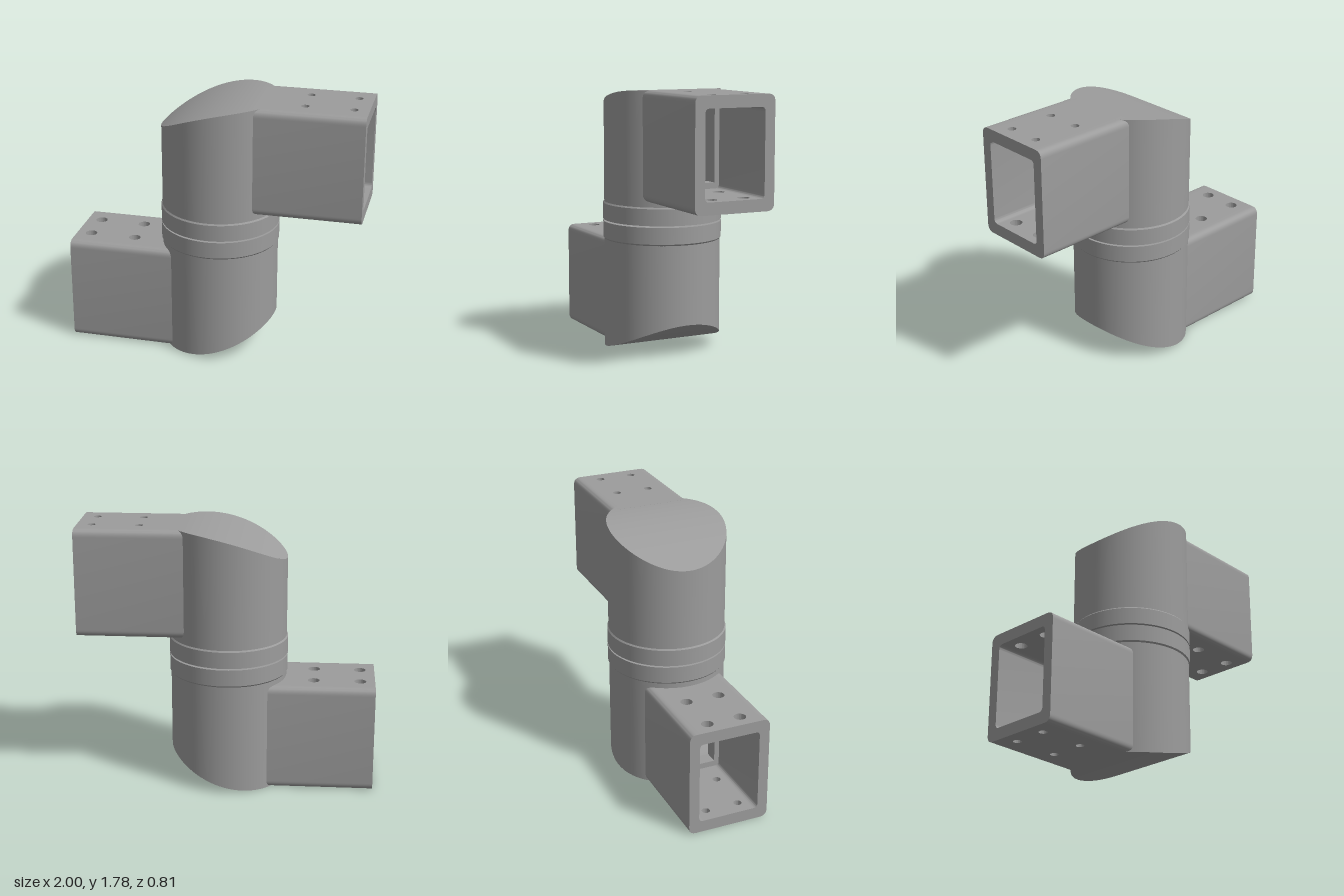
import * as THREE from 'three';
import { toCreasedNormals } from 'three/addons/utils/BufferGeometryUtils.js';
import { ParametricGeometry } from 'three/addons/geometries/ParametricGeometry.js';

const MID = 0.8925, TOP = 1.785, R = 0.395;
const TUBE = { x0: 0.27, x1: 1, y0: 1.055, y1: TOP, z: 0.28, wall: 0.08, r: 0.05 };
const WINDOW = { z: 0.175, y0: 1.175, y1: 1.665 };

// Height of the arched cap: level on the tube side, falling away on the other
const capY = (x) => {
  const arc = 1.195, d = Math.min(0, x - 0.3);
  return TOP - arc + Math.sqrt(arc * arc - d * d);
};

function createHalf(grey, greyDouble) {
  const half = new THREE.Group();
  const add = (name, geometry, material = grey) => {
    const mesh = new THREE.Mesh(geometry, material);
    mesh.name = name;
    half.add(mesh);
    return mesh;
  };

  // Barrel wall, in patches around the cable window
  const wall = (name, a0, a1, low, high, n) => add(name, new ParametricGeometry((u, v, p) => {
    const a = a0 + (a1 - a0) * v, x = R * Math.cos(a);
    p.set(x, low + (high(x) - low) * u, R * Math.sin(a));
  }, 1, n), greyDouble);
  const a = Math.asin(WINDOW.z / R);
  wall('barrelWall', a, Math.PI * 2 - a, 1.01, capY, 84);
  wall('barrelBelowWindow', -a, a, 1.01, () => WINDOW.y0, 14);
  wall('barrelAboveWindow', -a, a, WINDOW.y1, capY, 14);

  // Arched cap
  add('barrelCap', new ParametricGeometry((u, v, p) => {
    const t = 0.005 + (Math.PI - 0.01) * v, x = -R * Math.cos(t);
    p.set(x, capY(x), R * Math.sin(t) * (2 * u - 1));
  }, 8, 64), greyDouble);

  // Bearing collar with a bevelled edge
  add('collar', new THREE.CylinderGeometry(0.403, 0.403, 0.112, 96)).position.y = 0.954;
  add('collarBevel', new THREE.CylinderGeometry(R, 0.403, 0.01, 96)).position.y = 1.015;

  // Profiles extruded along x
  const alongX = (shape, x0, x1) => {
    const g = new THREE.ExtrudeGeometry(shape, { depth: x1 - x0, bevelEnabled: false, curveSegments: 8 });
    return toCreasedNormals(g.rotateY(Math.PI / 2).translate(x0, 0, 0), 0.6);
  };

  // Tube side walls with rounded outer corners and small inner fillets
  const { x0, x1, y0, y1, z, wall: w, r } = TUBE;
  for (const s of [1, -1]) {
    const side = new THREE.Shape();
    const inner = 0.18, face = 0.21;
    side.moveTo(s * inner, y0);
    side.lineTo(s * (z - r), y0);
    side.quadraticCurveTo(s * z, y0, s * z, y0 + r);
    side.lineTo(s * z, y1 - r);
    side.quadraticCurveTo(s * z, y1, s * (z - r), y1);
    side.lineTo(s * inner, y1);
    side.lineTo(s * inner, y1 - w);
    side.quadraticCurveTo(s * face, y1 - w, s * face, y1 - w - 0.03);
    side.lineTo(s * face, y0 + w + 0.03);
    side.quadraticCurveTo(s * face, y0 + w, s * inner, y0 + w);
    side.closePath();
    add(s > 0 ? 'tubeBackWall' : 'tubeFrontWall', alongX(side, x0, x1));
  }

  // Drilled tube plates: small holes outside, larger access holes opposite
  const plate = (name, yTop, holeR) => {
    const shape = new THREE.Shape();
    shape.moveTo(x0, -0.18);
    shape.lineTo(x1, -0.18);
    shape.lineTo(x1, 0.18);
    shape.lineTo(x0, 0.18);
    shape.closePath();
    for (const hx of [0.585, 0.9]) for (const hz of [-0.115, 0.115]) {
      shape.holes.push(new THREE.Path().absarc(hx, hz, holeR, 0, Math.PI * 2, true));
    }
    const g = new THREE.ExtrudeGeometry(shape, { depth: w, bevelEnabled: false, curveSegments: 24 });
    add(name, toCreasedNormals(g.rotateX(Math.PI / 2).translate(0, yTop, 0), 0.6));
  };
  plate('tubeOuterPlate', y1, 0.027);
  plate('tubeInnerPlate', y0 + w, 0.04);

  // Stop lip inside the socket, framing the cable window
  const rect = (path, hz, lo, hi) => {
    path.moveTo(-hz, lo);
    path.lineTo(hz, lo);
    path.lineTo(hz, hi);
    path.lineTo(-hz, hi);
    path.closePath();
    return path;
  };
  const lip = rect(new THREE.Shape(), 0.22, y0 + w - 0.01, y1 - w + 0.01);
  lip.holes.push(rect(new THREE.Path(), WINDOW.z, WINDOW.y0, WINDOW.y1));
  add('socketLip', alongX(lip, 0.32, 0.42));

  half.position.y = -MID;
  return half;
}

export function createModel() {
  const grey = new THREE.MeshStandardMaterial({ color: 0x9c9c9c });
  grey.name = 'grey';
  const greyDouble = grey.clone();
  greyDouble.name = 'grey';
  greyDouble.side = THREE.DoubleSide;

  const model = new THREE.Group();
  model.name = 'swivelCoupling';

  // Two identical halves, the lower one turned half a turn about z
  for (const [name, turn] of [['upperArm', 0], ['lowerArm', Math.PI]]) {
    const arm = new THREE.Group();
    arm.name = name;
    arm.position.y = MID;
    arm.rotation.z = turn;
    arm.add(createHalf(grey, greyDouble));
    model.add(arm);
  }

  // Pivot pin bridging the gap
  const pin = new THREE.Mesh(new THREE.CylinderGeometry(0.1, 0.1, 0.03, 48), grey);
  pin.name = 'pivotPin';
  pin.position.y = MID;
  model.add(pin);
  return model;
}
